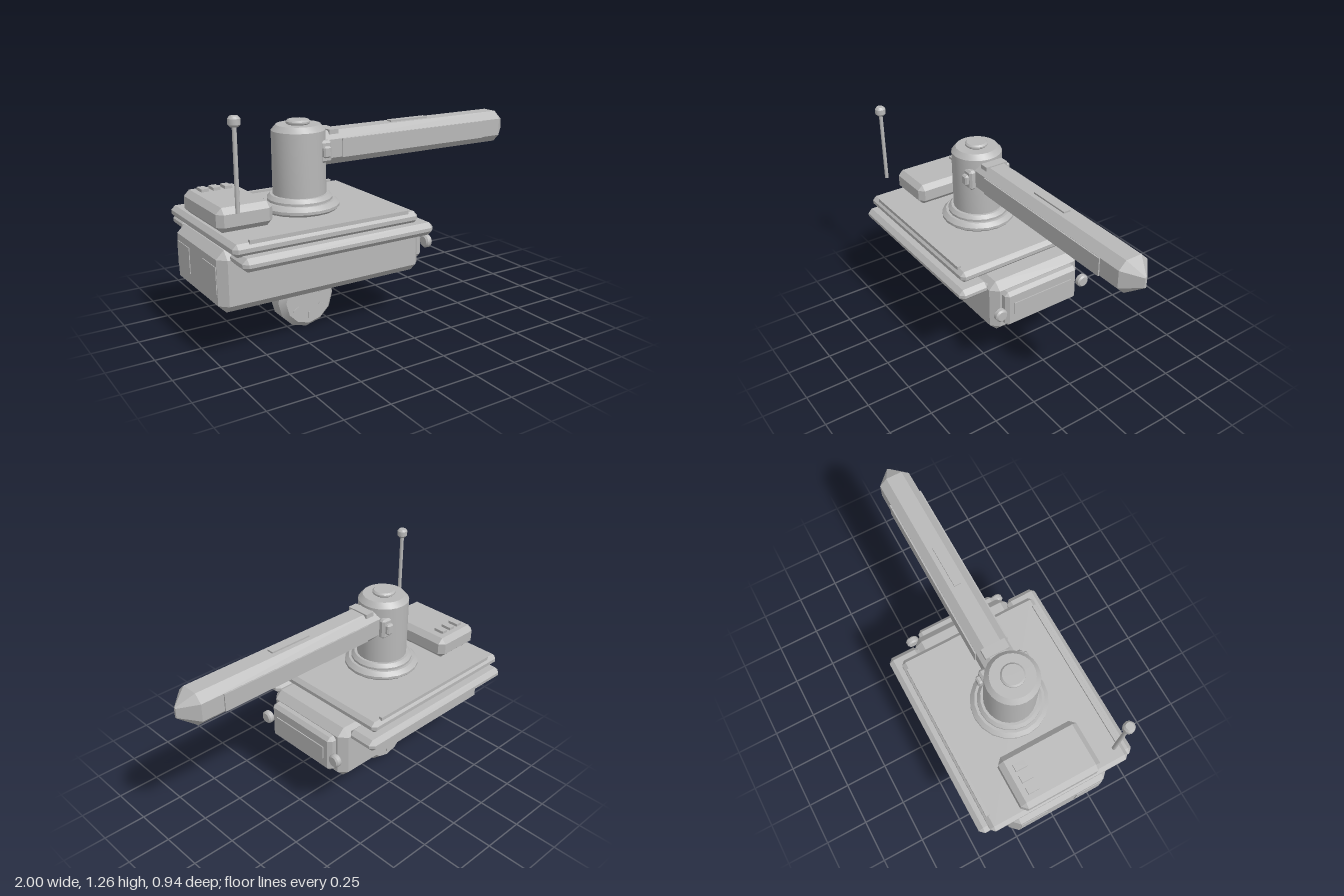
import * as THREE from 'three';
import { toCreasedNormals } from 'three/addons/utils/BufferGeometryUtils.js';
import { ConvexGeometry } from 'three/addons/geometries/ConvexGeometry.js';

// Box with every edge cut at 45 degrees by c
function chamferBox(w, h, d, c) {
  const pts = [];
  for (const x of [-1, 1]) for (const y of [-1, 1]) for (const z of [-1, 1]) {
    const a = x * w / 2, b = y * h / 2, e = z * d / 2;
    pts.push(new THREE.Vector3(a, b - y * c, e - z * c),
      new THREE.Vector3(a - x * c, b, e - z * c),
      new THREE.Vector3(a - x * c, b - y * c, e));
  }
  return new ConvexGeometry(pts);
}

// Turned solid from [radius, height] pairs, smooth round the axis and sharp at rims
function turned(profile, segments) {
  const points = profile.map(([r, y]) => new THREE.Vector2(r, y));
  return toCreasedNormals(new THREE.LatheGeometry(points, segments), 0.55);
}

export function createModel() {
  const model = new THREE.Group();
  const grey = new THREE.MeshStandardMaterial({ color: 0xb8b8b8 });
  grey.name = 'plain grey';

  const add = (name, geometry, x = 0, y = 0, z = 0) => {
    const mesh = new THREE.Mesh(geometry, grey);
    mesh.name = name;
    mesh.position.set(x, y, z);
    model.add(mesh);
    return mesh;
  };
  // Boxes are given by their [min, max] on each axis
  const box = (name, [x0, x1], [y0, y1], [z0, z1], c = 0) => {
    const w = x1 - x0, h = y1 - y0, d = z1 - z0;
    const g = c ? chamferBox(w, h, d, c) : new THREE.BoxGeometry(w, h, d);
    return add(name, g, (x0 + x1) / 2, (y0 + y1) / 2, (z0 + z1) / 2);
  };
  const mirrored = (name, xs, ys, [z0, z1], c) => {
    box(name + 'Left', xs, ys, [z0, z1], c);
    box(name + 'Right', xs, ys, [-z1, -z0], c);
  };

  // Hull, deck and side skirts
  box('hull', [-1, 0.19], [0.285, 0.605], [-0.296, 0.296], 0.042);
  box('deck', [-0.975, 0.08], [0.607, 0.672], [-0.417, 0.417], 0.022);
  mirrored('skirt', [-0.95, 0.147], [0.545, 0.613], [0.285, 0.469], 0.025);
  mirrored('deckRail', [-0.89, 0.015], [0.665, 0.685], [0.385, 0.407]);

  // Nose panel and lamps
  box('nosePanel', [0.17, 0.237], [0.34, 0.56], [-0.242, 0.242], 0.02);
  box('noseGrille', [0.235, 0.243], [0.415, 0.49], [-0.192, 0.192]);
  const lamp = turned([[0, -0.02], [0.028, -0.02], [0.037, -0.011], [0.037, 0.011], [0.028, 0.02], [0, 0.02]], 16);
  for (const z of [-0.28, 0.28]) add('lamp', lamp, 0.232, 0.445, z).rotation.z = -Math.PI / 2;

  // Rear plates
  mirrored('rearPlate', [-1.004, -0.998], [0.385, 0.525], [0.09, 0.25]);

  // Turret
  const tx = -0.405;
  add('turretBase', turned([[0, 0.665], [0.19, 0.665], [0.213, 0.685], [0.213, 0.7], [0.19, 0.722], [0, 0.722]], 20), tx);
  add('turretCollar', turned([[0, 0.72], [0.175, 0.72], [0.175, 0.735], [0.158, 0.755], [0, 0.755]], 20), tx);
  add('turretColumn', turned([[0, 0.75], [0.143, 0.75], [0.143, 1.093], [0.118, 1.122], [0, 1.122]], 24), tx);
  add('turretCap', turned([[0, 1.12], [0.055, 1.12], [0.064, 1.128], [0.064, 1.137], [0.055, 1.146], [0, 1.146]], 20), tx);

  // Arm: an eight-sided bar tapering to a narrow tip
  const section = (x, h, w, c) => [-1, 1].flatMap(sy => [-1, 1].flatMap(sz => [
    new THREE.Vector3(x, sy * h, sz * (w - c)),
    new THREE.Vector3(x, sy * (h - c), sz * w),
  ]));
  add('arm', new ConvexGeometry([
    ...section(-0.29, 0.091, 0.088, 0.042),
    ...section(0.91, 0.091, 0.088, 0.042),
    ...section(1, 0.03, 0.006, 0.004),
  ]), 0, 0.987, 0);
  mirrored('armSidePlate', [-0.19, 0.78], [0.936, 1.035], [0.086, 0.095]);
  box('armTopPlate', [0.17, 0.42], [1.076, 1.087], [-0.02, 0.02]);
  box('armStrap', [-0.255, -0.2], [1.06, 1.085], [-0.068, 0.068]);
  mirrored('armBracket', [-0.345, -0.275], [0.925, 1.042], [0.085, 0.128], 0.012);
  mirrored('bracketPin', [-0.335, -0.29], [0.955, 1.015], [0.12, 0.15], 0.008);

  // Rear console with three buttons
  box('console', [-0.97, -0.67], [0.675, 0.8], [-0.235, 0.235], 0.03);
  for (const x of [-0.89, -0.825, -0.76]) box('consoleButton', [x - 0.02, x + 0.02], [0.795, 0.816], [-0.175, -0.11]);

  // Antenna
  add('antennaRod', new THREE.CylinderGeometry(0.011, 0.011, 0.42, 10), -0.91, 1.01, 0.33);
  add('antennaTip', turned([[0, 1.207], [0.02, 1.207], [0.03, 1.218], [0.03, 1.246], [0.02, 1.258], [0, 1.258]], 12), -0.91, 0, 0.33);

  // Wheel with radial ribs on both faces
  const wheel = add('wheel', turned([[0, -0.08], [0.137, -0.08], [0.168, -0.045],
    [0.168, 0.045], [0.137, 0.08], [0, 0.08]], 12), tx, 0.17, 0);
  wheel.rotation.x = Math.PI / 2;
  for (const z of [-0.08, 0.08]) for (let i = 0; i < 6; i++) {
    const a = i * Math.PI / 3 + Math.PI / 6;
    const rib = add('wheelRib', new THREE.BoxGeometry(0.04, 0.014, 0.012), tx + 0.09 * Math.cos(a), 0.17 + 0.09 * Math.sin(a), z);
    rib.rotation.z = a;
  }
  return model;
}
